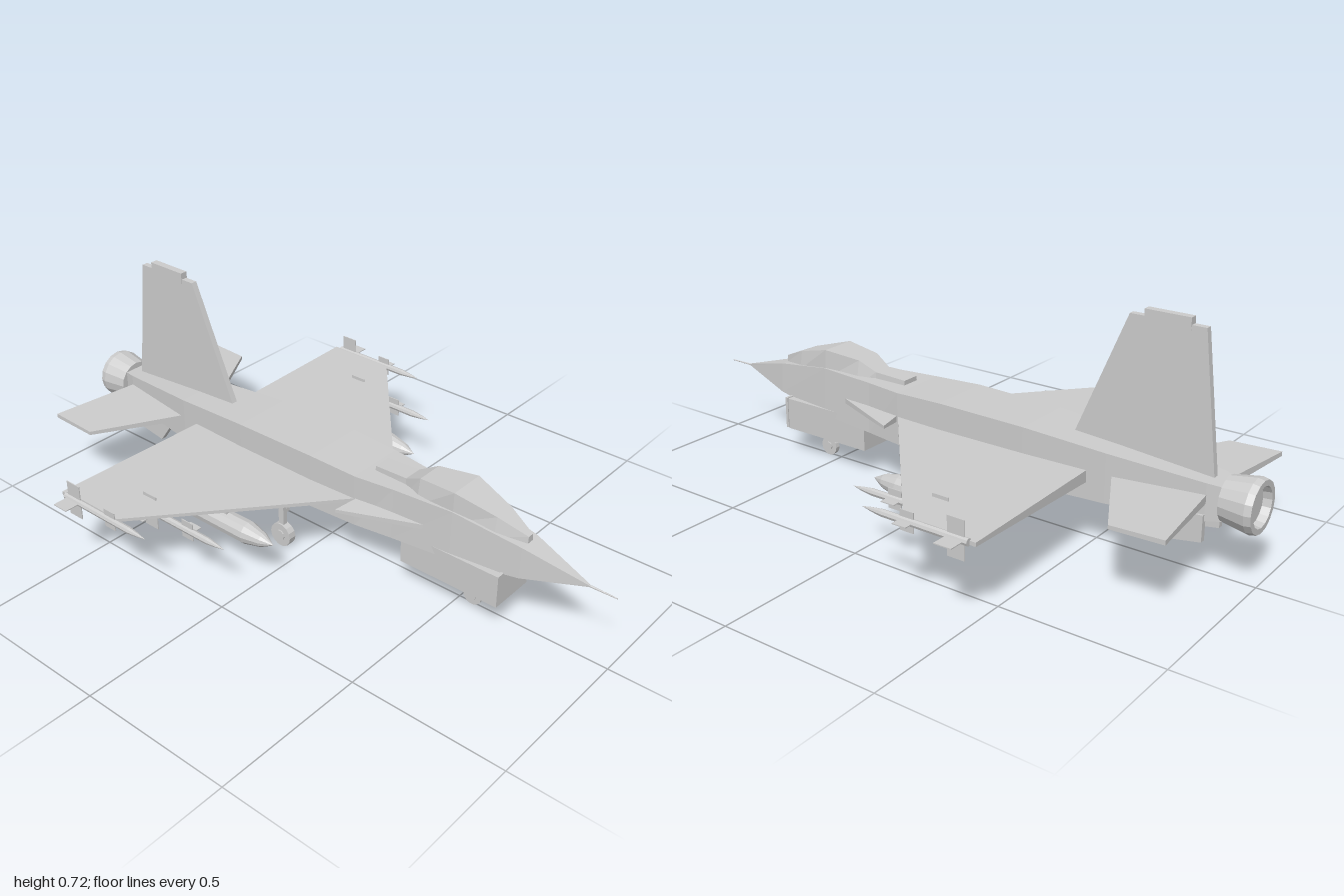
import * as THREE from 'three';

const mat = new THREE.MeshStandardMaterial({ color: 0xcccccc, flatShading: true, side: THREE.DoubleSide });

function mesh(name, geo, x = 0, y = 0, z = 0) {
  const m = new THREE.Mesh(geo, mat);
  m.name = name;
  m.position.set(x, y, z);
  return m;
}

// Skin a closed solid over equal-length rings of [x, y, z] points
function loft(rings) {
  const n = rings[0].length, tris = [];
  for (let i = 0; i < rings.length - 1; i++) {
    for (let j = 0; j < n; j++) {
      const a = rings[i][j], b = rings[i][(j + 1) % n];
      const c = rings[i + 1][(j + 1) % n], d = rings[i + 1][j];
      tris.push([a, b, c], [a, c, d]);
    }
  }
  const first = rings[0], last = rings[rings.length - 1];
  for (let j = 1; j < n - 1; j++) {
    tris.push([first[0], first[j + 1], first[j]], [last[0], last[j], last[j + 1]]);
  }
  // Turn all faces outward using the signed volume
  const v = (p) => new THREE.Vector3(...p);
  const o = v(first[0]);
  let volume = 0;
  for (const [a, b, c] of tris) volume += v(a).sub(o).dot(v(b).sub(o).cross(v(c).sub(o)));
  const pos = tris.flatMap((t) => (volume < 0 ? [t[0], t[2], t[1]] : t)).flat();
  const geo = new THREE.BufferGeometry();
  geo.setAttribute('position', new THREE.Float32BufferAttribute(pos, 3));
  geo.computeVertexNormals();
  return geo;
}

// Body from rows of [z, bottom half width, top half width, bottom y, top y]
const hull = (rows) => loft(rows.map(([z, wb, wt, y0, y1]) =>
  [[-wb, y0, z], [wb, y0, z], [wt, y1, z], [-wt, y1, z]]));

// Horizontal plate from [x, z, bottom y, top y] corners
const plate = (corners, s) => loft([
  corners.map(([x, z, y0]) => [s * x, y0, z]),
  corners.map(([x, z, , y1]) => [s * x, y1, z]),
]);

// Vertical plate from [z, y] corners, centred on x
const fin = (corners, x, half) => loft([-half, half].map((h) => corners.map(([z, y]) => [x + h, y, z])));

// Turned part along z from [radius, z] points
const turned = (pts, sides) =>
  new THREE.LatheGeometry(pts.map(([r, z]) => new THREE.Vector2(r, z)), sides).rotateX(Math.PI / 2);

// Missile with its nose tip at z = 0
function missile() {
  const g = new THREE.Group();
  g.name = 'missile';
  g.add(mesh('missileBody', turned([[0, -0.35], [0.011, -0.35], [0.011, -0.07], [0.006, -0.03], [0, 0]], 8)));
  g.add(mesh('tailFinsHorizontal', new THREE.BoxGeometry(0.114, 0.003, 0.055), 0, 0, -0.31));
  g.add(mesh('tailFinsVertical', new THREE.BoxGeometry(0.003, 0.114, 0.055), 0, 0, -0.31));
  g.add(mesh('foreFin', new THREE.BoxGeometry(0.034, 0.003, 0.045), 0.017, 0, -0.152));
  g.add(mesh('foreFinsVertical', new THREE.BoxGeometry(0.003, 0.06, 0.045), 0, 0, -0.152));
  return g;
}

// Wheel with hub and strut, standing on y = 0
function gear(name, radius, width, top) {
  const g = new THREE.Group();
  g.name = name;
  g.add(mesh('wheel', new THREE.CylinderGeometry(radius, radius, width, 14).rotateZ(Math.PI / 2), 0, radius, 0));
  g.add(mesh('hub', new THREE.CylinderGeometry(radius * 0.45, radius * 0.45, width + 0.008, 10).rotateZ(Math.PI / 2), 0, radius, 0));
  g.add(mesh('strut', new THREE.BoxGeometry(0.016, top - radius, 0.02), 0, (top + radius) / 2, 0));
  return g;
}

export function createModel() {
  const model = new THREE.Group();
  model.name = 'fighterJet';

  // Body
  model.add(mesh('fuselage', hull([
    [0.915, 0.003, 0.003, 0.243, 0.248],
    [0.72, 0.045, 0.04, 0.2, 0.3],
    [0.5, 0.072, 0.066, 0.175, 0.335],
    [0.3, 0.085, 0.08, 0.165, 0.332],
    [0.17, 0.098, 0.098, 0.16, 0.332],
    [0, 0.104, 0.104, 0.156, 0.338],
    [-0.3, 0.1, 0.1, 0.156, 0.332],
    [-0.57, 0.088, 0.088, 0.163, 0.315],
    [-0.86, 0.055, 0.055, 0.18, 0.292],
    [-0.92, 0.04, 0.04, 0.19, 0.285],
  ])));
  model.add(mesh('noseProbe', new THREE.CylinderGeometry(0.002, 0.004, 0.1, 6).rotateX(Math.PI / 2), 0, 0.245, 0.95));
  model.add(mesh('canopy', hull([
    [0.72, 0.012, 0.01, 0.3, 0.322],
    [0.63, 0.046, 0.035, 0.3, 0.36],
    [0.5, 0.063, 0.06, 0.3, 0.396],
    [0.37, 0.06, 0.045, 0.3, 0.383],
    [0.31, 0.036, 0.032, 0.3, 0.352],
    [0.195, 0.032, 0.03, 0.3, 0.347],
  ])));
  model.add(mesh('intake', new THREE.BoxGeometry(0.15, 0.106, 0.335), 0, 0.143, 0.498));
  model.add(mesh('intakeLip', new THREE.BoxGeometry(0.156, 0.106, 0.01), 0, 0.146, 0.67));
  model.add(mesh('nozzle', turned([
    [0, -0.975], [0.056, -0.975], [0.06, -1], [0.077, -1], [0.081, -0.98], [0.067, -0.9], [0, -0.9],
  ], 16), 0, 0.24, 0));

  // Tail fin
  model.add(mesh('tailFin', fin([[-0.41, 0.3], [-0.58, 0.703], [-0.81, 0.703], [-0.862, 0.28]], 0, 0.01)));
  model.add(mesh('tailFinCap', new THREE.BoxGeometry(0.024, 0.036, 0.14), 0, 0.706, -0.695));

  // Paired surfaces and stores
  for (const s of [1, -1]) {
    model.add(mesh('wing', plate([
      [0.09, 0.175, 0.242, 0.254], [0.632, -0.29, 0.242, 0.252],
      [0.635, -0.525, 0.238, 0.25], [0.09, -0.51, 0.213, 0.25],
    ], s)));
    model.add(mesh('strake', plate([
      [0.07, 0.42, 0.238, 0.255], [0.155, 0.215, 0.24, 0.252],
      [0.175, 0.16, 0.24, 0.25], [0.09, 0.175, 0.235, 0.256],
    ], s)));
    model.add(mesh('tailplane', plate([
      [0.07, -0.58, 0.23, 0.25], [0.353, -0.735, 0.238, 0.25],
      [0.353, -0.9, 0.242, 0.256], [0.045, -0.86, 0.232, 0.258],
    ], s)));
    model.add(mesh('ventralFin', fin([[-0.655, 0.19], [-0.72, 0.097], [-0.86, 0.12], [-0.86, 0.2]], s * 0.055, 0.009)));

    // Drop tank and pylon
    model.add(mesh('dropTank', turned([
      [0, -0.4], [0.036, -0.4], [0.034, -0.375], [0.018, -0.34], [0.035, -0.29], [0.036, -0.04], [0.022, 0.02], [0, 0.062],
    ], 12), s * 0.338, 0.163, 0));
    model.add(mesh('pylon', new THREE.BoxGeometry(0.018, 0.06, 0.16), s * 0.338, 0.215, -0.2));

    // Wing tip and under-wing missiles
    const tip = missile(), inner = missile();
    tip.position.set(s * 0.637, 0.246, -0.155);
    inner.position.set(s * 0.487, 0.205, 0.01);
    model.add(tip, inner);

    // Main landing gear
    const main = gear('mainGear', 0.04, 0.026, 0.17);
    main.position.set(s * 0.145, 0, -0.08);
    model.add(main);
    model.add(mesh('gearBrace', new THREE.BoxGeometry(0.012, 0.07, 0.02), s * 0.13, 0.155, -0.08));
  }

  const nose = gear('noseGear', 0.032, 0.016, 0.1);
  nose.position.z = 0.548;
  model.add(nose);
  return model;
}
